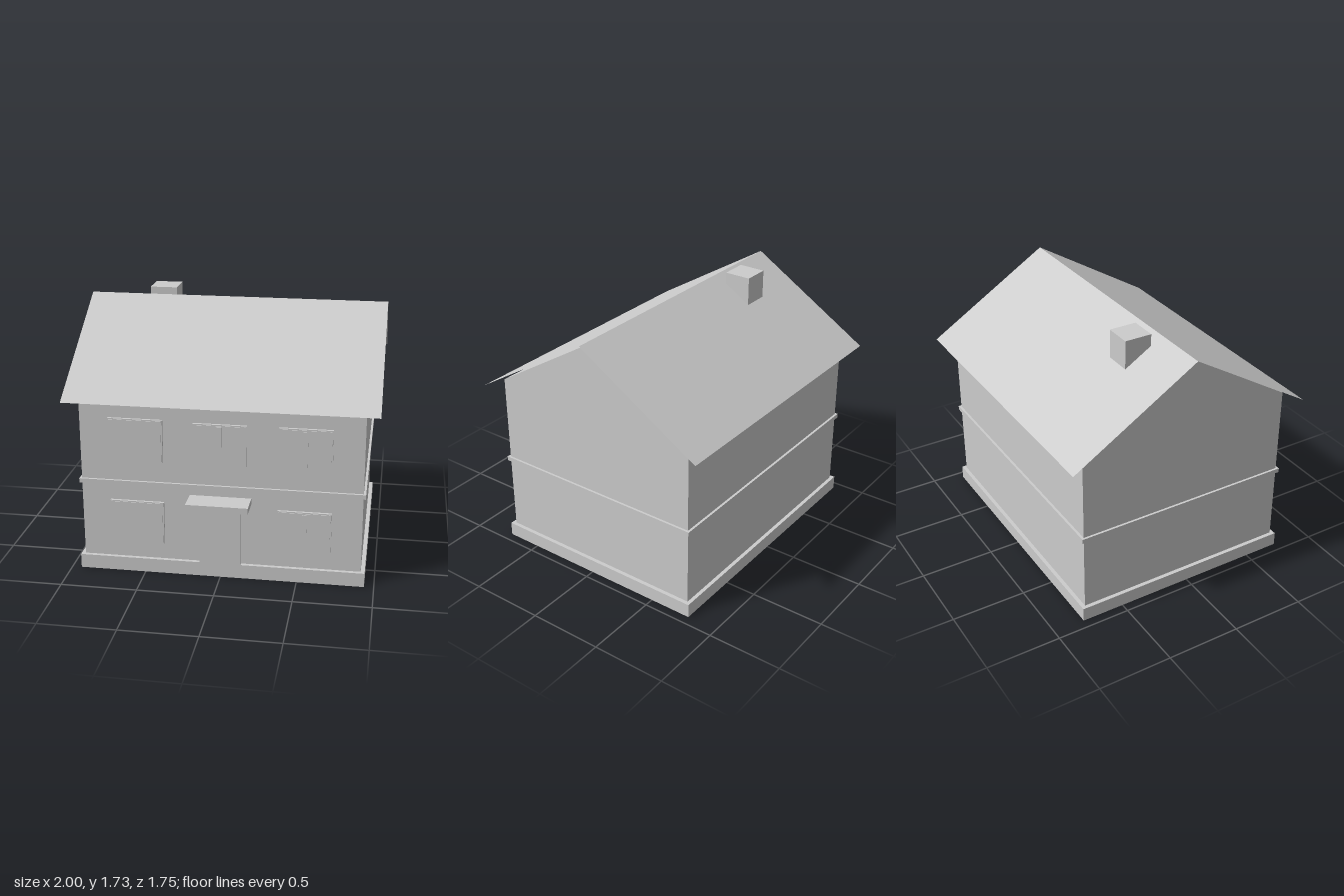
import * as THREE from 'three';

export function createModel() {
  const house = new THREE.Group();
  house.name = 'house';
  const plaster = new THREE.MeshStandardMaterial({ color: 0xcccccc, side: THREE.DoubleSide });
  plaster.name = 'light grey';

  const add = (name, geometry, parent = house) => {
    const mesh = new THREE.Mesh(geometry, plaster);
    mesh.name = name;
    parent.add(mesh);
    return mesh;
  };
  // box given by its limits on each axis
  const block = (name, [x0, x1], [y0, y1], [z0, z1], parent) =>
    add(name, new THREE.BoxGeometry(x1 - x0, y1 - y0, z1 - z0), parent)
      .position.set((x0 + x1) / 2, (y0 + y1) / 2, (z0 + z1) / 2);

  const front = 0.715, back = -0.765, mid = -0.025;

  // walls: gabled cross-section extruded along x
  const section = new THREE.Shape([[back, 0.05], [front, 0.05], [front, 1.222], [mid, 1.68], [back, 1.222]]
    .map(([z, y]) => new THREE.Vector2(z, y)));
  const walls = new THREE.ExtrudeGeometry(section, { depth: 1.824, bevelEnabled: false });
  walls.rotateY(-Math.PI / 2).translate(0.912, 0, 0);
  add('walls', walls);

  block('plinth', [-0.938, 0.938], [0, 0.095], [-0.79, 0.74]);
  block('stringCourse', [-0.927, 0.927], [0.607, 0.637], [-0.781, 0.731]);

  // roof: two thin sheets meeting at the ridge
  const run = 0.848, rise = 0.52, pitch = Math.atan2(rise, run);
  for (const side of [1, -1]) {
    const sheet = new THREE.PlaneGeometry(2, Math.hypot(run, rise));
    sheet.rotateX(pitch - Math.PI / 2);
    if (side < 0) sheet.rotateY(Math.PI);
    sheet.translate(0, 1.18 + rise / 2, mid - 0.003 + side * run / 2);
    add(side > 0 ? 'frontRoof' : 'backRoof', sheet);
  }
  block('chimney', [-0.615, -0.433], [1.45, 1.73], [-0.292, -0.108]);

  // entrance
  block('door', [-0.138, 0.135], [0.095, 0.53], [0.7, 0.74]);
  block('doorCanopy', [-0.2, 0.2], [0.52, 0.56], [0.7, 0.875]);

  // windows: casing, raised pane and optional central mullion
  const windows = [
    [-0.547, 0.92, 0.355, 0.286, false],
    [-0.003, 0.918, 0.35, 0.272, true],
    [0.543, 0.92, 0.342, 0.268, true],
    [-0.547, 0.354, 0.355, 0.29, false],
    [0.543, 0.353, 0.347, 0.278, true],
  ];
  for (const [x, y, w, h, mullion] of windows) {
    const group = new THREE.Group();
    group.name = 'window';
    house.add(group);
    const panel = (name, pw, ph, z0, z1) =>
      block(name, [x - pw / 2, x + pw / 2], [y - ph / 2, y + ph / 2], [z0, z1], group);
    panel('windowCasing', w, h, 0.7, 0.732);
    panel('windowPane', w - 0.016, h - 0.014, 0.73, 0.737);
    if (mullion) panel('windowMullion', 0.03, h - 0.03, 0.735, 0.744);
  }
  return house;
}
